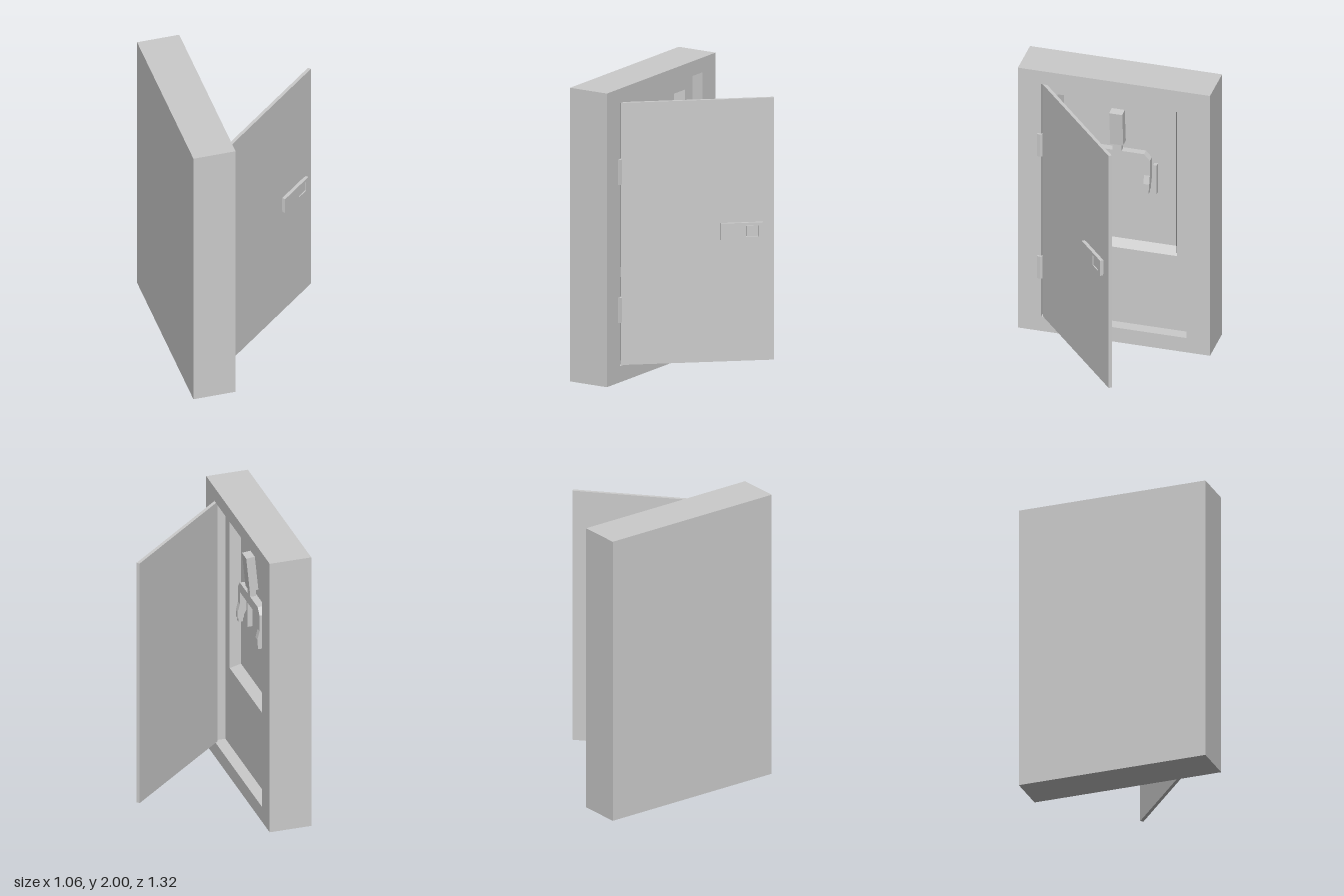
import * as THREE from 'three';

const mat = new THREE.MeshStandardMaterial({ color: 0xcccccc, flatShading: true });

function add(parent, name, geometry, x = 0, y = 0, z = 0) {
  const mesh = new THREE.Mesh(geometry, mat);
  mesh.name = name;
  mesh.position.set(x, y, z);
  parent.add(mesh);
  return mesh;
}

// Box given by its limits on each axis
function block(parent, name, [x0, x1], [y0, y1], [z0, z1]) {
  return add(parent, name, new THREE.BoxGeometry(x1 - x0, y1 - y0, z1 - z0),
    (x0 + x1) / 2, (y0 + y1) / 2, (z0 + z1) / 2);
}

function extrude(points, depth, holes = []) {
  const toShape = (p) => new THREE.Shape(p.map(([x, y]) => new THREE.Vector2(x, y)));
  const shape = toShape(points);
  shape.holes = holes.map(toShape);
  return new THREE.ExtrudeGeometry(shape, { depth, bevelEnabled: false });
}

// Rectangular loops stacked along x, joined by walls and closed at both ends
function loftRects(rects) {
  const loops = rects.map(([x, w, y0, y1]) =>
    [[x, y0, w], [x, y0, -w], [x, y1, -w], [x, y1, w]]);
  const pos = [];
  const quad = (a, b, c, d) => [a, b, c, a, c, d].forEach((p) => pos.push(...p));
  for (let k = 0; k < loops.length - 1; k++) {
    const a = loops[k], b = loops[k + 1];
    for (let i = 0; i < 4; i++) {
      const j = (i + 1) % 4;
      quad(a[i], a[j], b[j], b[i]);
    }
  }
  quad(...[...loops[0]].reverse());
  quad(...loops[loops.length - 1]);
  const g = new THREE.BufferGeometry();
  g.setAttribute('position', new THREE.Float32BufferAttribute(pos, 3));
  g.computeVertexNormals();
  return g;
}

export function createModel() {
  const model = new THREE.Group();
  model.name = 'wallCabinet';
  const front = -0.24;

  // Cabinet body: outer block, door recess, then a deeper bevelled recess
  add(model, 'cabinetBody', loftRects([
    [-0.53, 0.66, 0, 2],
    [front, 0.66, 0, 2],
    [front, 0.5, 0.11, 1.9],
    [front - 0.08, 0.5, 0.11, 1.9],
    [front - 0.08, 0.41, 0.68, 1.79],
    [front - 0.15, 0.385, 0.715, 1.76],
  ]));

  // Open door, swung about its hinge edge
  const door = new THREE.Group();
  door.name = 'door';
  door.position.set(front, 0, 0.458);
  door.rotation.y = 0.72;
  model.add(door);
  block(door, 'doorPanel', [-0.02, 1.0], [0.115, 1.9], [0, 0.023]);

  // Latch plate with a square thumb recess
  add(door, 'latchPlate', extrude(
    [[0.64, 0.945], [0.926, 0.945], [0.926, 1.06], [0.64, 1.06]], 0.02,
    [[[0.81, 0.965], [0.81, 1.04], [0.895, 1.04], [0.895, 0.965]]]), 0, 0, 0.03);
  block(door, 'latchBase', [0.645, 0.92], [0.95, 1.055], [0.023, 0.031]);
  block(door, 'latchButton', [0.813, 0.892], [0.968, 1.037], [0.03, 0.045]);

  // Hinges: the same knuckle profile at two heights
  for (const y of [0.41, 1.35]) {
    const hinge = add(model, 'hinge', extrude(
      [[-0.243, -0.525], [-0.228, -0.525], [-0.222, -0.502], [-0.235, -0.488], [-0.243, -0.488]],
      0.17), 0, y, 0);
    hinge.rotation.x = -Math.PI / 2;
  }

  // Fork-shaped lever hanging in the inner recess
  const lever = new THREE.Group();
  lever.name = 'lever';
  model.add(lever);

  // Yoke with chamfered shoulders
  const yoke = add(lever, 'yoke', extrude([
    [-0.225, 1.26], [-0.185, 1.26], [-0.185, 1.36], [0.185, 1.36], [0.185, 1.26],
    [0.225, 1.26], [0.225, 1.385], [0.185, 1.43], [-0.185, 1.43], [-0.225, 1.385],
  ], 0.05), -0.365, 0, 0);
  yoke.rotation.y = Math.PI / 2;

  block(lever, 'stem', [-0.355, -0.315], [1.42, 1.5], [-0.03, 0.03]);
  const grip = block(lever, 'grip', [-0.355, -0.295], [1.48, 1.73], [-0.045, 0.045]);
  grip.rotation.z = -0.1;

  for (const side of [-1, 1]) {
    const z = side * 0.205;
    // Arm end steps forward, then drops to a small foot
    add(lever, 'armEnd', extrude([
      [-0.365, 1.27], [-0.365, 1.23], [-0.345, 1.19], [-0.345, 1.165],
      [-0.3, 1.165], [-0.3, 1.21], [-0.315, 1.27],
    ], 0.04), 0, 0, z - 0.02);
    block(lever, 'foot', [-0.338, -0.308], [1.135, 1.17], [z - 0.014, z + 0.014]);
    // Upright guide standing on the back panel
    block(lever, 'guide', [-0.4, -0.358], [1.11, 1.33], [z - 0.055, z - 0.03]);
  }

  return model;
}
